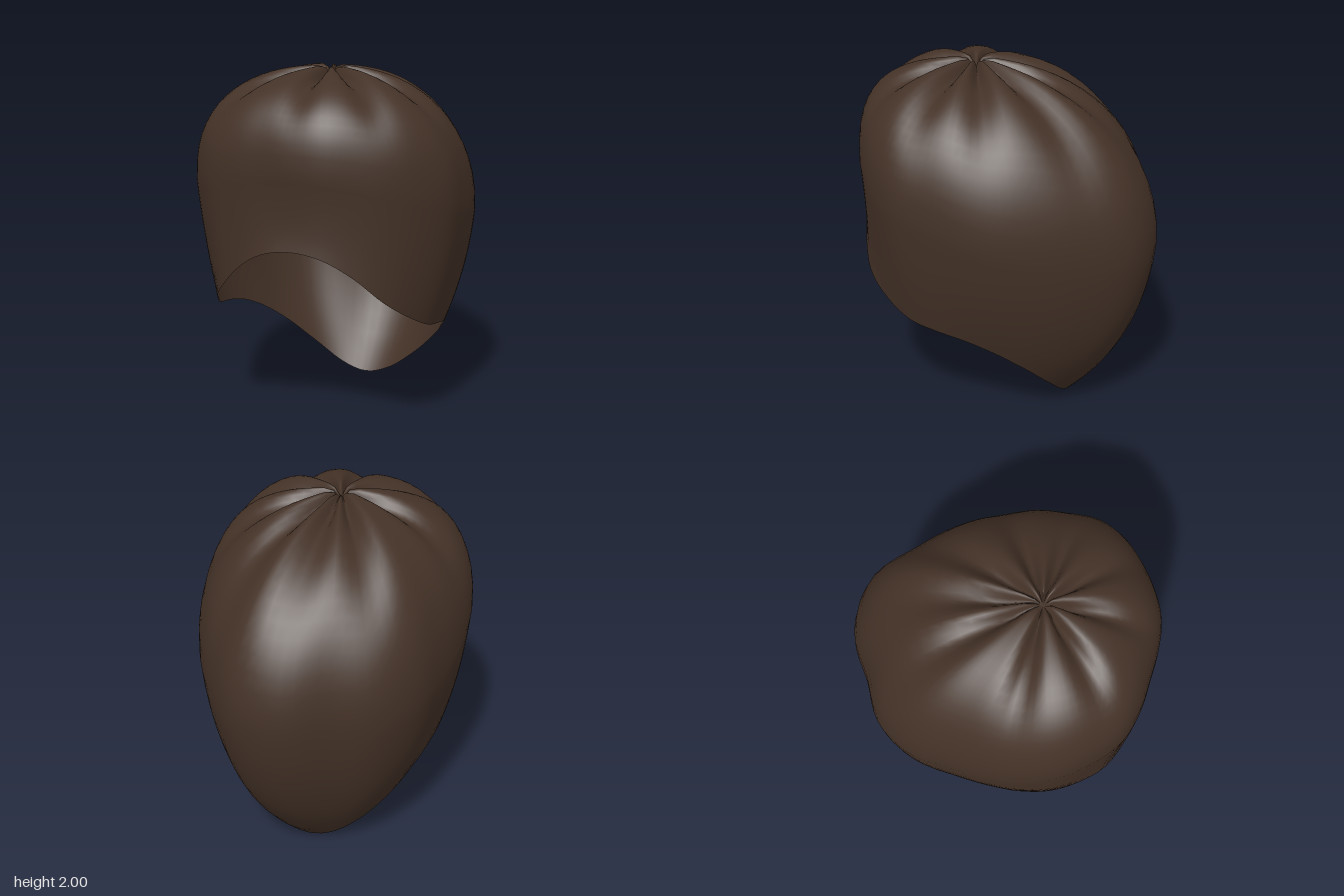
import * as THREE from 'three';

const SEG = 96, UPPER = 18, LOWER = 9;
const CROWN_Z = 0.22;

// Every 15 degrees, from the front (+z) round through the left (+x)
const girth = [0.65, 0.665, 0.675, 0.705, 0.745, 0.78, 0.775, 0.8, 0.84, 0.895, 0.98, 1.09,
  1.09, 1.0, 0.99, 0.93, 0.835, 0.79, 0.775, 0.77, 0.75, 0.735, 0.69, 0.65];
// Hem, front to back, mirrored for the other side
const mirror = (half) => [...half, ...half.slice(1, -1).reverse()];
const hemRadius = mirror([0.64, 0.65, 0.66, 0.675, 0.66, 0.65, 0.645, 0.645, 0.655, 0.67, 0.66, 0.625, 0.605]);
const hemHeight = mirror([1.08, 1.05, 0.95, 0.8, 0.69, 0.61, 0.575, 0.53, 0.45, 0.33, 0.18, 0.05, 0]);
// Directions of the gathered folds, in degrees
const folds = [0, 42, 80, 115, 152, 181, 210, 265, 312];

// Smooth periodic lookup in a table
function sample(table, turn) {
  const n = table.length, f = turn * n, i = Math.floor(f), t = f - i;
  const p = (k) => table[(i + k + n) % n];
  const a = p(-1), b = p(0), c = p(1), d = p(2);
  return b + 0.5 * t * (c - a + t * (2 * a - 5 * b + 4 * c - d + t * (3 * (b - c) + d - a)));
}

// How deep in a fold a direction lies, 0 to 1
function foldAt(deg) {
  let depth = 0;
  for (const f of folds) {
    const d = Math.abs(((deg - f + 540) % 360) - 180);
    depth = Math.max(depth, Math.exp(-((d / 9) ** 2)));
  }
  return depth;
}

// One line from crown to hem, as [radius, height] pairs
function meridian(turn) {
  const c = Math.cos(turn * Math.PI * 2);
  const w = sample(girth, turn), wy = 1.27 + 0.24 * c;
  const r = sample(hemRadius, turn), ry = sample(hemHeight, turn);
  const power = 2 / (2.35 + 0.25 * c);
  const fold = foldAt(turn * 360);
  const line = [];
  // domed top, pinched at the crown
  for (let i = 1; i <= UPPER; i++) {
    const a = (Math.PI / 2) * (i / UPPER) ** 1.3;
    const rho = Math.sin(a) ** power;
    const rise = i === UPPER ? 0 : Math.cos(a) ** power;
    const dent = fold * Math.min(1, rho / 0.2) * Math.max(0, 1 - rho) ** 0.8;
    const pinch = 0.05 * Math.exp(-((rho * w / 0.04) ** 2));
    line.push([w * rho * (1 - 0.05 * dent), wy + (2 - wy) * rise - 0.1 * dent - pinch]);
  }
  // curve from the widest point in to the hem
  const cr = w + (r - w) * (0.1 + 0.1 * (1 - c * c)) - 0.04 * Math.max(0, c);
  const cy = wy + (ry - wy) * (0.5 + 0.1 * c * c);
  for (let i = 1; i <= LOWER; i++) {
    const t = i / LOWER, s = 1 - t;
    line.push([s * s * w + 2 * s * t * cr + t * t * r, s * s * wy + 2 * s * t * cy + t * t * ry]);
  }
  return line;
}

function shellGeometry() {
  const rows = UPPER + LOWER;
  const pos = [0, 1.94, CROWN_Z], index = [];
  for (let j = 0; j < SEG; j++) {
    const a = (j / SEG) * Math.PI * 2;
    for (const [r, y] of meridian(j / SEG)) pos.push(r * Math.sin(a), y, CROWN_Z + r * Math.cos(a));
  }
  const at = (j, i) => 1 + (j % SEG) * rows + i;
  for (let j = 0; j < SEG; j++) {
    index.push(0, at(j, 0), at(j + 1, 0));
    for (let i = 0; i < rows - 1; i++) {
      index.push(at(j, i), at(j, i + 1), at(j + 1, i));
      index.push(at(j + 1, i), at(j, i + 1), at(j + 1, i + 1));
    }
  }
  const geo = new THREE.BufferGeometry();
  geo.setAttribute('position', new THREE.Float32BufferAttribute(pos, 3));
  geo.setIndex(index);
  geo.computeVertexNormals();
  return geo;
}

export function createModel() {
  const group = new THREE.Group();
  group.name = 'hairCap';
  const darkBrown = new THREE.MeshStandardMaterial({ color: 0x443227, side: THREE.DoubleSide });
  darkBrown.name = 'darkBrown';
  const shell = new THREE.Mesh(shellGeometry(), darkBrown);
  shell.name = 'hairShell';
  group.add(shell);
  return group;
}
